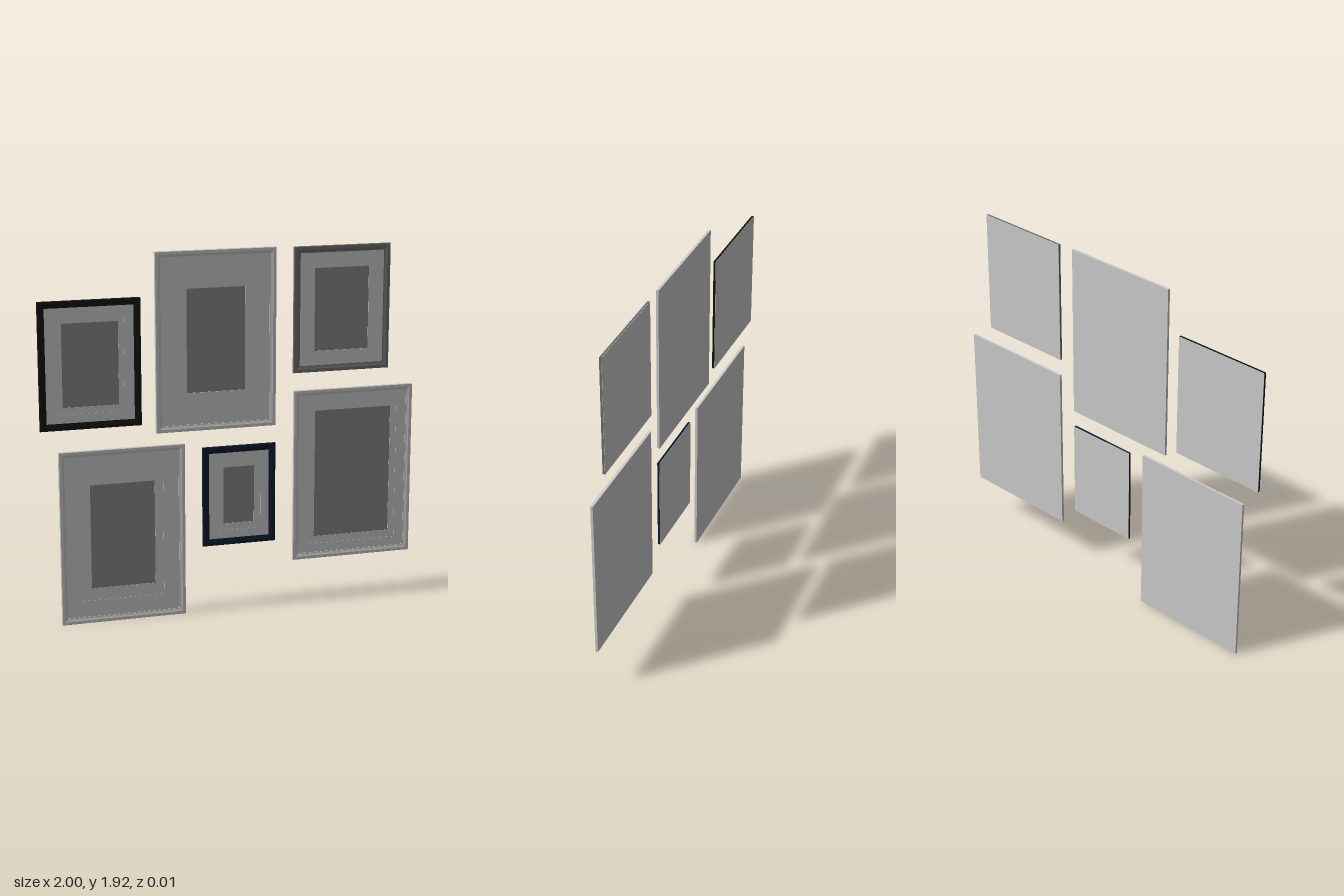
import * as THREE from 'three';

const BACK = -0.0075;
const GREY = 0xcccccc;

// Moulding cross-section: [fraction of rail width from the outside, z]
const PROFILE = [
  [0, -0.006], [0, 0.0055], [0.08, 0.0075], [0.5, 0.0075],
  [0.62, 0.006], [0.88, 0.004], [1, 0.004], [1, -0.001],
];

// Outer and picture rectangles: [left, right, bottom, top]
const FRAMES = [
  { name: 'blackFrame', outer: [-1, -0.475, 1.04, 1.70], picture: [-0.88, -0.59, 1.155, 1.585], rail: 0.035, color: 0x131313, step: [0.03, 0.035] },
  { name: 'topCentreFrame', outer: [-0.40, 0.24, 0.99, 1.925], picture: [-0.235, 0.075, 1.19, 1.73], rail: 0.034, color: GREY },
  { name: 'darkGreyFrame', outer: [0.335, 0.86, 1.26, 1.92], picture: [0.45, 0.745, 1.37, 1.805], rail: 0.035, color: 0x707070 },
  { name: 'lowerLeftFrame', outer: [-0.91, -0.25, 0, 0.925], picture: [-0.75, -0.41, 0.185, 0.74], rail: 0.033, color: GREY, step: [0.045, 0.065] },
  { name: 'navyFrame', outer: [-0.155, 0.24, 0.36, 0.895], picture: [-0.04, 0.125, 0.475, 0.78], rail: 0.035, color: 0x0a1b2c, step: [0.035, 0.035] },
  { name: 'lowerRightFrame', outer: [0.34, 1, 0.24, 1.165], picture: [0.46, 0.88, 0.36, 1.05], rail: 0.033, color: GREY, step: [0.035, 0.04] },
];

const material = (color) => new THREE.MeshStandardMaterial({ color });

const grow = ([l, r, b, t], dx, dy = dx) => [l - dx, r + dx, b - dy, t + dy];

function panel(name, [l, r, b, t], z0, z1, mat) {
  const mesh = new THREE.Mesh(new THREE.BoxGeometry(r - l, t - b, z1 - z0), mat);
  mesh.position.set((l + r) / 2, (b + t) / 2, (z0 + z1) / 2);
  mesh.name = name;
  return mesh;
}

const trace = (path, [l, r, b, t]) =>
  path.moveTo(l, b).lineTo(r, b).lineTo(r, t).lineTo(l, t).closePath();

// Flat board with a rectangular window
function matBoard(name, outer, hole, z0, z1, mat) {
  const shape = trace(new THREE.Shape(), outer);
  shape.holes.push(trace(new THREE.Path(), hole));
  const geo = new THREE.ExtrudeGeometry(shape, { depth: z1 - z0, bevelEnabled: false });
  const mesh = new THREE.Mesh(geo.translate(0, 0, z0), mat);
  mesh.name = name;
  return mesh;
}

// One mitred rail: the profile swept between two neighbouring corners
function rail(name, a, b, width, mat) {
  const point = ([x, y, sx, sy], [u, z]) => [x + sx * u * width, y + sy * u * width, z];
  const positions = [];
  for (let j = 0; j < PROFILE.length - 1; j++) {
    const p = point(a, PROFILE[j]), q = point(b, PROFILE[j]);
    const r = point(b, PROFILE[j + 1]), s = point(a, PROFILE[j + 1]);
    positions.push(...p, ...q, ...r, ...p, ...r, ...s);
  }
  const geo = new THREE.BufferGeometry();
  geo.setAttribute('position', new THREE.Float32BufferAttribute(positions, 3));
  geo.computeVertexNormals();
  const mesh = new THREE.Mesh(geo, mat);
  mesh.name = name;
  return mesh;
}

function pictureFrame({ name, outer, picture, rail: width, color, step }) {
  const group = new THREE.Group();
  group.name = name;
  const [l, r, b, t] = outer;
  const grey = material(GREY), moulding = material(color);

  // Backing board
  group.add(panel('backing', outer, BACK, -0.006, grey));

  // Four mitred rails
  const corners = [[l, b, 1, 1], [r, b, -1, 1], [r, t, -1, -1], [l, t, 1, -1]];
  ['bottomRail', 'leftRail', 'topRail', 'rightRail'].forEach((side, i) =>
    group.add(rail(side, corners[i], corners[(i + 1) % 4], width, moulding)));

  // Mat, with a second inner layer on the double-matted frames
  const opening = grow(outer, -width * 0.95);
  if (step) {
    const window = grow(picture, ...step);
    group.add(matBoard('outerMat', opening, window, -0.006, 0.001, grey));
    group.add(matBoard('innerMat', window, picture, -0.006, -0.0005, grey));
  } else {
    group.add(matBoard('mat', opening, picture, -0.006, 0.001, grey));
  }

  // Picture
  group.add(panel('picture', picture, -0.006, -0.002, material(0x888888)));
  return group;
}

export function createModel() {
  const model = new THREE.Group();
  model.name = 'pictureFrameGallery';
  FRAMES.forEach((f) => model.add(pictureFrame(f)));
  return model;
}
